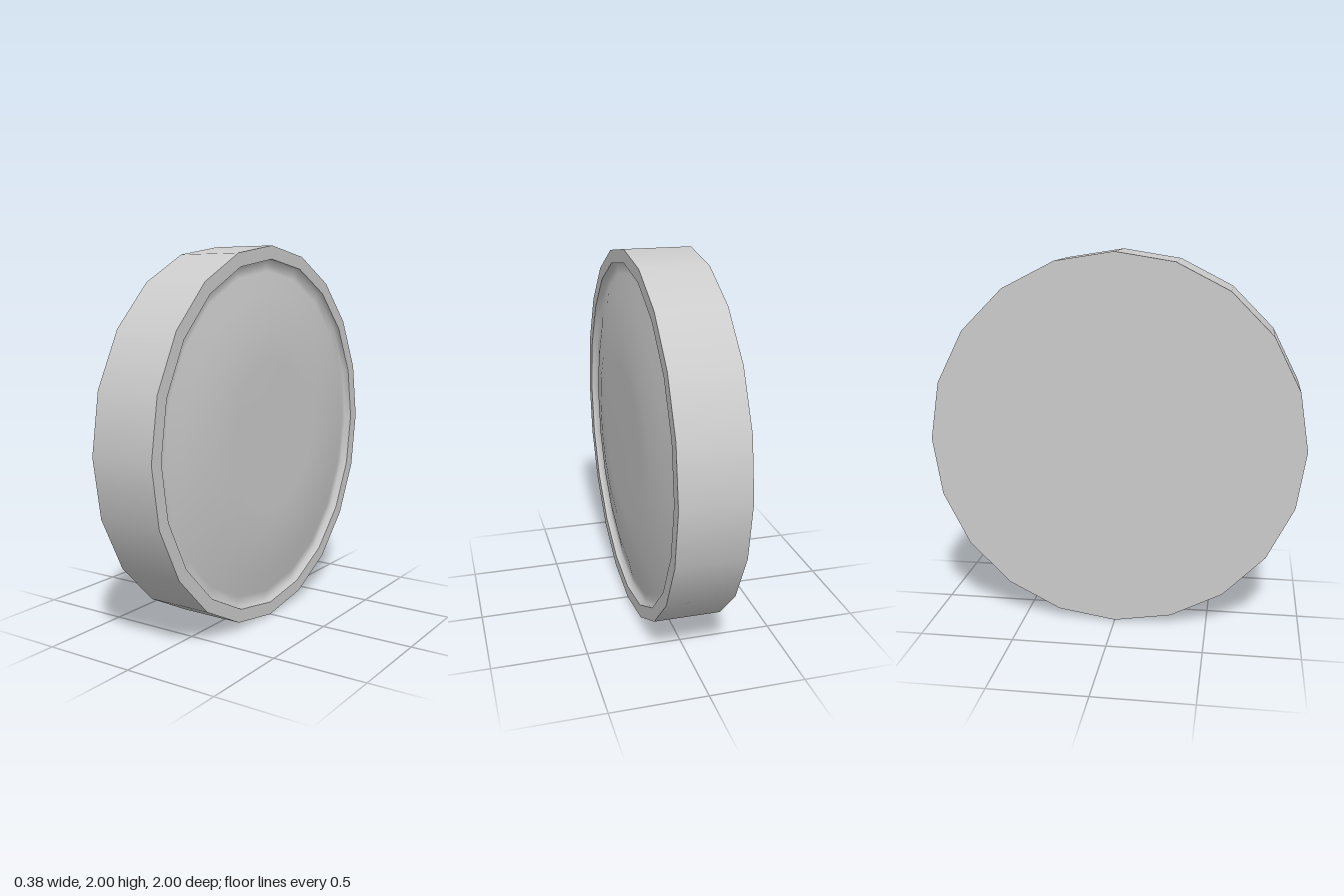
import * as THREE from 'three';

const SIDES = 20;
const BACK = -0.19, RIM = 0.165, INNER = 0.93;

export function createModel() {
  const group = new THREE.Group();
  const disc = new THREE.Group();
  disc.name = 'disc';
  const material = new THREE.MeshStandardMaterial({ color: 0xcccccc });

  // Each part is a turned profile of [radius, height]; separate parts keep the edges between them sharp
  const turn = (name, profile) => {
    const points = profile.map(([r, h]) => new THREE.Vector2(r, h));
    const mesh = new THREE.Mesh(new THREE.LatheGeometry(points, SIDES), material);
    mesh.name = name;
    disc.add(mesh);
  };

  turn('backFace', [[0, BACK], [1, BACK]]);
  turn('outerWall', [[1, BACK], [1, RIM]]);
  turn('rim', [[1, RIM], [INNER, RIM]]);
  // Shallow groove inside the rim, rising to a flat raised centre
  turn('raisedFace', [
    [INNER, RIM], [0.925, 0.13], [0.87, 0.135], [0.76, 0.158],
    [0.56, 0.185], [0.4, 0.187], [0, 0.188],
  ]);

  // Lay the turning axis along x and stand the disc on its edge
  disc.rotation.z = -Math.PI / 2;
  disc.position.y = 1;
  group.add(disc);
  return group;
}
